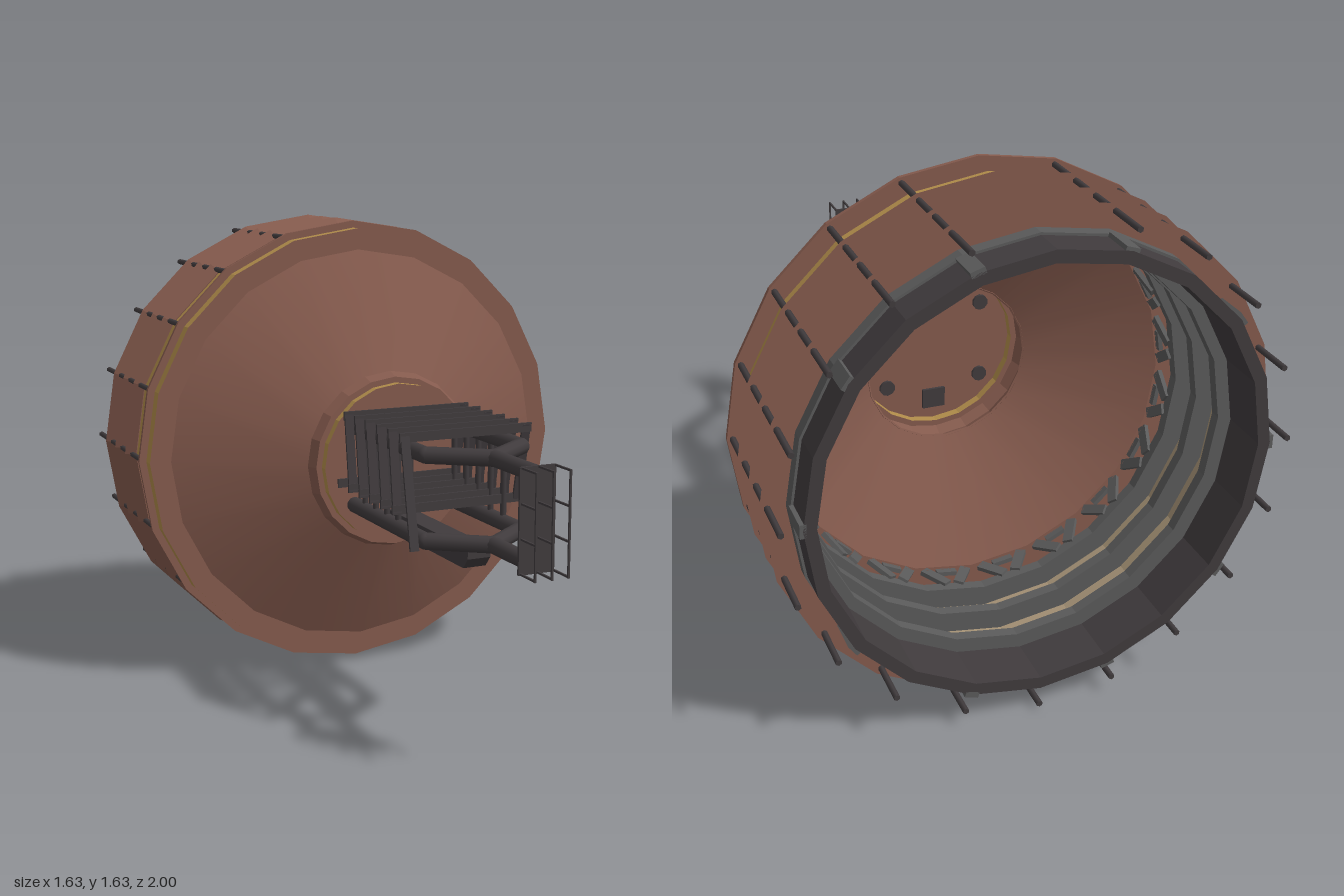
import * as THREE from 'three';

const mat = (name, color) => {
  const m = new THREE.MeshStandardMaterial({ color, side: THREE.DoubleSide });
  m.name = name;
  return m;
};

export function createModel() {
  const brown = mat('copperBrown', 0x845a4d);
  const gold = mat('gold', 0xb08c4a);
  const tan = mat('tan', 0xa39074);
  const gray = mat('gray', 0x5a5a5a);
  const dark = mat('darkMetal', 0x403b3d);
  const AXIS = 0.817, SIDES = 20;
  const model = new THREE.Group();
  const bell = new THREE.Group();
  bell.name = 'bell';
  bell.position.y = AXIS;
  model.add(bell);
  const truss = new THREE.Group();
  truss.name = 'truss';
  model.add(truss);

  const add = (parent, name, geo, material) => {
    const mesh = new THREE.Mesh(geo, material);
    mesh.name = name;
    parent.add(mesh);
    return mesh;
  };
  // Surface of revolution about z from [radius, z] points
  const turned = (name, pts, material, smooth = false) => {
    let g = new THREE.LatheGeometry(pts.map(p => new THREE.Vector2(p[0], p[1])), SIDES);
    g.rotateX(Math.PI / 2);
    if (!smooth) {
      g = g.toNonIndexed();
      g.computeVertexNormals();
    }
    return add(bell, name, g, material);
  };
  const V = (x, y, z) => new THREE.Vector3(x, y, z);
  // Round bar between two points
  const bar = (name, a, b, r, sides = 10) => {
    const d = b.clone().sub(a);
    const m = add(truss, name, new THREE.CylinderGeometry(r, r, d.length(), sides), dark);
    m.position.copy(a).add(b).multiplyScalar(0.5);
    m.quaternion.setFromUnitVectors(V(0, 1, 0), d.normalize());
    return m;
  };
  const box = (name, w, h, d, x, y, z) => {
    const m = add(truss, name, new THREE.BoxGeometry(w, h, d), dark);
    m.position.set(x, y, z);
    return m;
  };

  // Cone, collar and front disc
  turned('cone', [[0.275, -0.16], [0.71, -0.37]], brown, true);
  turned('collar', [[0.275, -0.06], [0.295, -0.06], [0.31, -0.1], [0.28, -0.165]], brown);
  turned('collarBand', [[0.275, -0.03], [0.275, -0.06]], gold);
  turned('frontDisc', [[0, -0.03], [0.275, -0.03]], brown);
  turned('coneFlange', [[0.71, -0.37], [0.785, -0.37]], brown);
  turned('coneBand', [[0.785, -0.37], [0.785, -0.415]], gold);
  turned('coneRing', [[0.65, -0.415], [0.81, -0.415], [0.81, -0.43], [0.65, -0.43]], brown);

  // Stepped barrel: gold hoops on gray plates, with flared brown rings
  [[-0.5, 0.785], [-0.635, 0.755], [-0.775, 0.755]].forEach(([z, r], i) => {
    const back = z - 0.036;
    const ringZ = [-0.575, -0.71, -0.84][i];
    turned('hoopBand', [[r, z], [r, back]], gold);
    turned('hoopFrontPlate', [[0.66, z], [r, z]], gray);
    turned('hoopBackPlate', [[r, back], [0.66, back], [0.66, z]], gray);
    turned('flaredRing', [[0.735, ringZ + 0.008], [0.785, ringZ + 0.03], [0.815, ringZ - 0.008], [0.735, ringZ - 0.008]], brown);
  });
  turned('barrelWall', [[0.73, -0.53], [0.73, -0.83]], tan);

  // Rear section with panels between ribs
  turned('rearHoop', [[0.69, -0.835], [0.738, -0.835], [0.738, -0.89], [0.73, -0.89]], gray);
  turned('rearWall', [[0.73, -0.885], [0.73, -1], [0.69, -1], [0.69, -0.835]], dark);
  for (let i = 0; i < 10; i++) {
    const a = Math.PI / 10 + i * Math.PI / 5;
    const rib = add(bell, 'rearRib', new THREE.BoxGeometry(0.045, 0.02, 0.11), gray);
    rib.position.set(Math.sin(a) * 0.73, Math.cos(a) * 0.73, -0.945);
    rib.rotation.z = -a;
  }

  // Zigzag lattice between cone and barrel
  for (let i = 0; i < SIDES; i++) {
    const spoke = new THREE.Group();
    spoke.name = 'latticeUnit';
    spoke.rotation.z = (i + 0.5) * Math.PI * 2 / SIDES;
    for (const s of [-1, 1]) {
      const leg = add(spoke, 'latticeLeg', new THREE.BoxGeometry(0.034, 0.015, 0.1), gray);
      leg.position.set(s * 0.047, 0.65, -0.465);
      leg.rotation.y = s * 0.6;
    }
    const foot = add(spoke, 'latticeFoot', new THREE.BoxGeometry(0.07, 0.015, 0.022), gray);
    foot.position.set(0, 0.65, -0.437);
    bell.add(spoke);
  }

  // Outer rods, none at the very top
  for (let i = 1; i < SIDES; i++) {
    const a = i * Math.PI * 2 / SIDES;
    const rod = add(bell, 'outerRod', new THREE.CylinderGeometry(0.01, 0.01, 0.575, 6), dark);
    rod.rotation.x = Math.PI / 2;
    rod.position.set(Math.sin(a) * 0.792, Math.cos(a) * 0.792, -0.7125);
  }

  // Forked rails, upper and lower, mirrored
  for (const y of [0.957, 0.685]) {
    for (const s of [-1, 1]) {
      const bend = V(s * 0.168, y, 0.52), tip = V(0, y, 0.65);
      bar('rail', V(s * 0.168, y, -0.04), bend, 0.027);
      bar('railFork', bend, tip, 0.027);
      add(truss, 'railElbow', new THREE.SphereGeometry(0.027, 10, 8), dark).position.copy(bend);
    }
    bar('railTip', V(0, y, 0.64), V(0, y, 0.91), 0.027);
  }
  for (const s of [-1, 1]) {
    for (let k = 0; k < 5; k++) {
      const z = 0.41 - k * 0.087;
      bar('railPost', V(s * 0.168, 0.685, z), V(s * 0.168, 0.957, z), 0.01, 6);
    }
  }

  // Lower beam with a chamfered tip
  const side = new THREE.Shape([[-0.04, 0.585], [0.53, 0.585], [0.56, 0.62], [0.56, 0.655], [-0.04, 0.655]]
    .map(p => new THREE.Vector2(p[0], p[1])));
  const beam = new THREE.ExtrudeGeometry(side, { depth: 0.08, bevelEnabled: false });
  beam.translate(0, 0, -0.04).rotateY(-Math.PI / 2);
  add(truss, 'lowerBeam', beam, dark);

  // Rectangular ribbon wound around the rails
  const ribbon = (a, b, flat) => {
    const d = b.clone().sub(a), len = d.length() + 0.01;
    const m = box('windingStrip', flat ? len : 0.03, flat ? 0.03 : len, 0.008, 0, 0, 0);
    m.position.copy(a).add(b).multiplyScalar(0.5);
    m.quaternion.setFromUnitVectors(flat ? V(1, 0, 0) : V(0, 1, 0), d.normalize());
  };
  ribbon(V(-0.213, 0.665, 0.535), V(-0.213, 1.01, 0.465), false);
  for (let k = 0; k < 6; k++) {
    const z = 0.465 - k * 0.087, low = z - 0.055;
    ribbon(V(-0.225, 1.005, z), V(0.23, 1.005, z), true);
    ribbon(V(0.217, 1.01, z), V(0.217, 0.76, low), false);
    ribbon(V(-0.225, 0.765, low), V(0.23, 0.765, low), true);
    if (k < 5) ribbon(V(-0.213, 0.76, low), V(-0.213, 1.01, z - 0.087), false);
  }

  // End plate with three thin wire combs
  box('endPlate', 0.12, 0.322, 0.008, 0, 0.822, 0.91);
  for (const x of [-0.053, 0.003, 0.058]) {
    box('combUpright', 0.006, 0.322, 0.006, x, 0.822, 0.997);
    for (const y of [0.665, 0.77, 0.875, 0.98]) box('combTooth', 0.006, 0.006, 0.09, x, y, 0.955);
  }
  return model;
}
